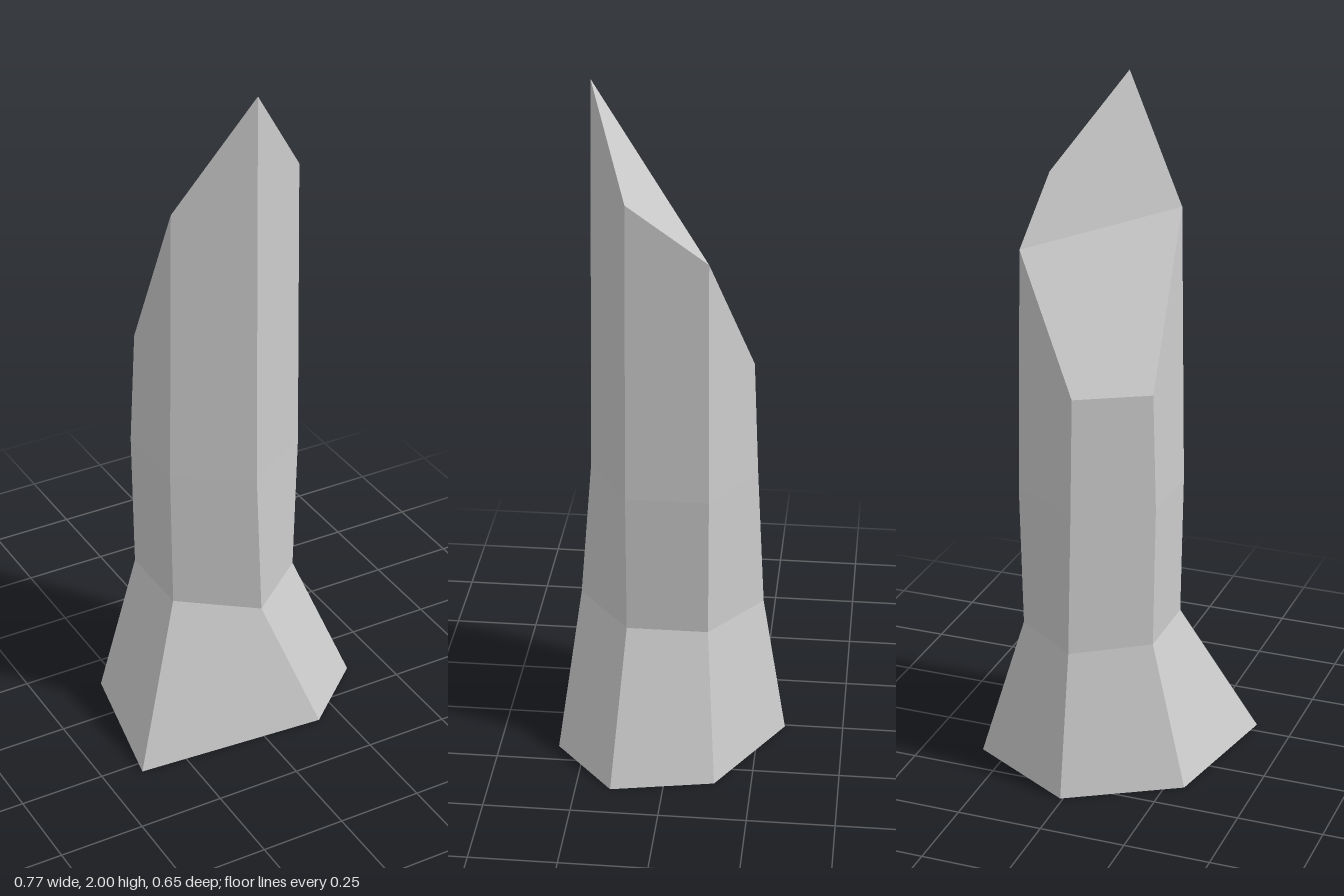
import * as THREE from 'three';

// Six-sided rings, going round from the front corner towards +x: [x, y, z]
const ring = (y, pts) => pts.map(([x, z]) => new THREE.Vector3(x, y, z));

const foot = ring(0, [[0.18, 0.327], [0.386, 0.15], [0.327, -0.144], [0.008, -0.328], [-0.304, -0.144], [-0.388, 0.287]]);
const neck = ring(0.43, [[0.008, 0.276], [0.203, 0.12], [0.203, -0.113], [0.008, -0.258], [-0.195, -0.117], [-0.195, 0.121]]);
const waist = ring(0.85, [[0.008, 0.242], [0.213, 0.12], [0.213, -0.114], [0.008, -0.236], [-0.201, -0.118], [-0.201, 0.121]]);
const rim = ring(0, [[0.008, 0.227], [0.203, 0.115], [0.203, -0.11], [0.008, -0.222], [-0.188, -0.11], [-0.188, 0.115]]);
[2, 1.72, 1.56, 1.187, 1.187, 1.66].forEach((y, i) => { rim[i].y = y; });

// Four-cornered facets, each with one flat normal taken from its diagonals
function facets(name, quads) {
  const positions = [], normals = [];
  for (const [a, b, c, d] of quads) {
    const n = c.clone().sub(a).cross(d.clone().sub(b)).normalize();
    for (const p of [a, b, c, a, c, d]) {
      positions.push(p.x, p.y, p.z);
      normals.push(n.x, n.y, n.z);
    }
  }
  const geometry = new THREE.BufferGeometry();
  geometry.setAttribute('position', new THREE.Float32BufferAttribute(positions, 3));
  geometry.setAttribute('normal', new THREE.Float32BufferAttribute(normals, 3));
  const material = new THREE.MeshStandardMaterial({ color: 0xcccccc, side: THREE.DoubleSide });
  const mesh = new THREE.Mesh(geometry, material);
  mesh.name = name;
  return mesh;
}

// Side walls joining two rings
const walls = (lower, upper) => lower.map((p, i) => {
  const j = (i + 1) % lower.length;
  return [p, lower[j], upper[j], upper[i]];
});

export function createModel() {
  const group = new THREE.Group();
  group.name = 'crystalPillar';

  // Flared foot, open underneath
  group.add(facets('flaredFoot', walls(foot, neck)));

  // Hexagonal shaft with a slight bulge at the waist
  group.add(facets('shaft', [...walls(neck, waist), ...walls(waist, rim)]));

  // Slanted tip: an upper and a lower facet
  group.add(facets('slantedTip', [
    [rim[0], rim[1], rim[2], rim[5]],
    [rim[5], rim[2], rim[3], rim[4]],
  ]));

  return group;
}
